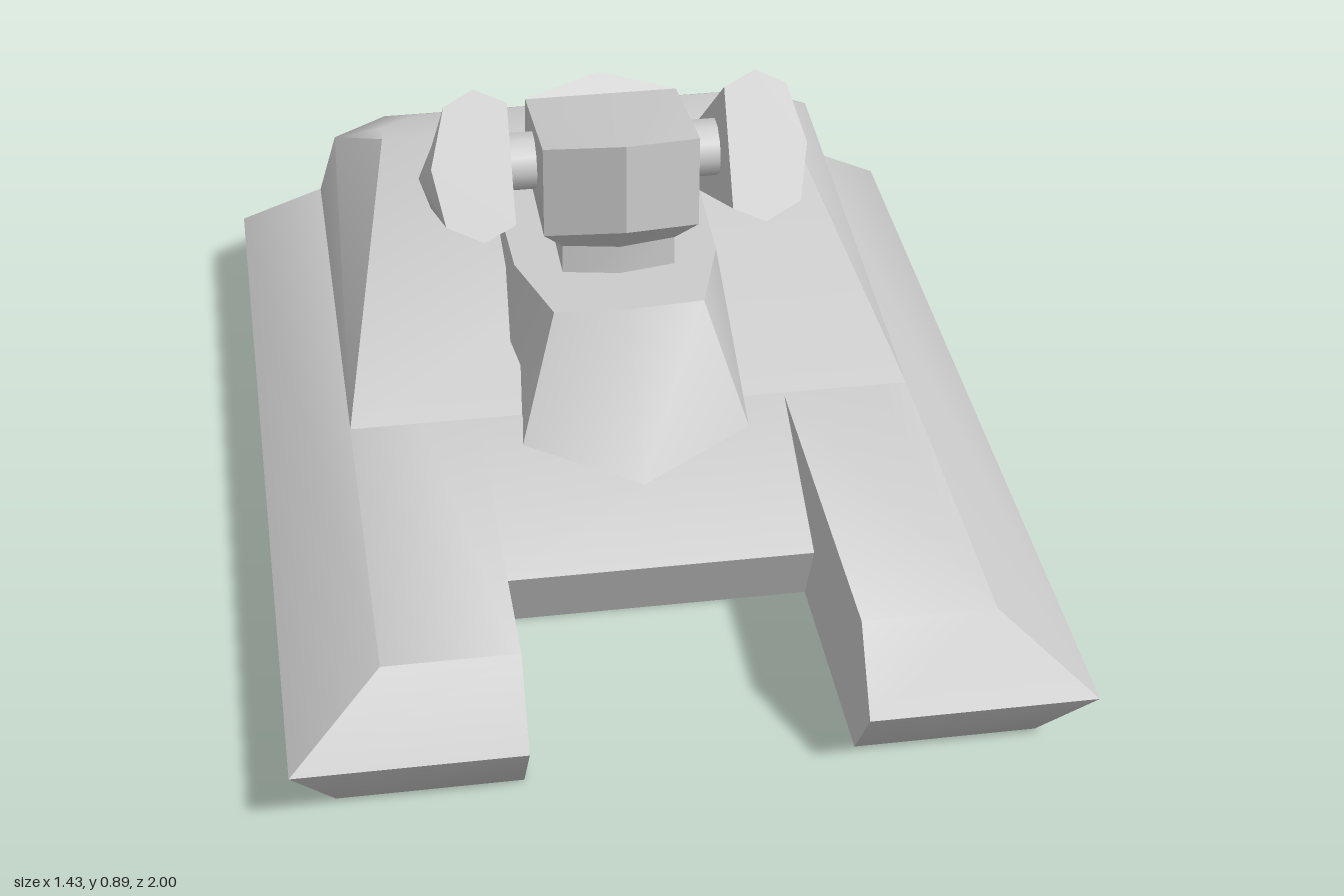
import * as THREE from 'three';
import { toCreasedNormals } from 'three/addons/utils/BufferGeometryUtils.js';

const material = new THREE.MeshStandardMaterial({ color: 0xcccccc });

// Joins rings of [x, y, z] points from the lowest to the highest and caps both ends.
function loft(name, rings, crease) {
  const flat = rings[0].map(([x, , z]) => new THREE.Vector2(x, -z));
  if (THREE.ShapeUtils.isClockWise(flat)) rings = rings.map((r) => [...r].reverse());
  const pos = [];
  const tri = (a, b, c, sign = 0) => {
    const [A, B, C] = [a, b, c].map((p) => new THREE.Vector3(...p));
    const n = B.clone().sub(A).cross(C.clone().sub(A));
    if (n.length() < 1e-8) return;
    if (n.y * sign < 0) pos.push(...a, ...c, ...b);
    else pos.push(...a, ...b, ...c);
  };
  for (let k = 0; k < rings.length - 1; k++) {
    const lo = rings[k], hi = rings[k + 1];
    lo.forEach((a, i) => {
      const j = (i + 1) % lo.length;
      tri(a, lo[j], hi[j]);
      tri(a, hi[j], hi[i]);
    });
  }
  const cap = (ring, sign) => {
    const contour = ring.map(([x, , z]) => new THREE.Vector2(x, -z));
    for (const [a, b, c] of THREE.ShapeUtils.triangulateShape(contour, [])) tri(ring[a], ring[b], ring[c], sign);
  };
  cap(rings[0], -1);
  cap(rings[rings.length - 1], 1);
  const g = new THREE.BufferGeometry();
  g.setAttribute('position', new THREE.Float32BufferAttribute(pos, 3));
  const mesh = new THREE.Mesh(toCreasedNormals(g, crease), material);
  mesh.name = name;
  return mesh;
}

// Closes a right-to-left symmetric ring from its +x half; points on x = 0 are kept once.
const mirrored = (half) => [
  ...half,
  ...half.filter(([x]) => x > 0).reverse().map(([x, y, z]) => [-x, y, z]),
];

export function createModel() {
  const model = new THREE.Group();

  // Forked lower hull: two prongs, a notch between them, chamfered rear corners
  const tier = (y, front, notch, w, side, backW, back) => mirrored([
    [0.3, y, notch], [0.3, y, front], [w, y, front], [w, y, side], [backW, y, back],
  ]);
  model.add(loft('lowerHull', [
    tier(0, 0.9, 0.45, 0.635, -0.8, 0.45, -0.92),
    tier(0.145, 1, 0.515, 0.715, -0.86, 0.48, -1),
    tier(0.29, 0.9, 0.2, 0.545, -0.72, 0.4, -0.81),
  ], 1.05));

  // Upper hull: wedge rising to a crest near the rear
  model.add(loft('upperHull', [
    mirrored([[0.545, 0.29, 0.19], [0.545, 0.29, -0.72], [0.4, 0.29, -0.81]]),
    mirrored([[0.545, 0.29, 0.19], [0.51, 0.45, -0.66], [0.4, 0.47, -0.7]]),
    mirrored([[0.42, 0.54, -0.48], [0.42, 0.543, -0.52], [0.34, 0.553, -0.55]]),
  ], 0.9));

  // Turret base with a pointed, sloping nose
  model.add(loft('turretBase', [
    mirrored([[0, 0.22, 0.355], [0.22, 0.265, 0.255], [0.225, 0.265, 0.05], [0.21, 0.265, -0.38]]),
    mirrored([[0, 0.5, 0.17], [0.145, 0.5, 0.16], [0.2, 0.5, -0.02], [0.21, 0.5, -0.38]]),
  ], 0.6));

  // Turret head on a narrow neck, six-sided in plan
  const six = (w, yMid, ySide, front, frontSide, backSide, back, drop = 0) => mirrored([
    [0, yMid, front], [w, ySide, frontSide], [w, ySide - drop, backSide], [0, yMid - drop, back],
  ]);
  model.add(loft('turretHead', [
    six(0.11, 0.48, 0.48, 0.04, 0.02, -0.18, -0.21),
    six(0.11, 0.56, 0.56, 0.04, 0.02, -0.18, -0.21),
    six(0.15, 0.64, 0.61, 0.12, 0.06, -0.24, -0.29),
    six(0.15, 0.828, 0.8, 0.12, 0.06, -0.22, -0.26, 0.045),
  ], 0.7));

  // Axle carrying the pods
  const axle = new THREE.Mesh(new THREE.CylinderGeometry(0.057, 0.057, 0.48, 10), material);
  axle.name = 'podAxle';
  axle.rotation.z = Math.PI / 2;
  axle.position.set(0, 0.692, -0.09);
  model.add(axle);

  // Tilted, tapering pods: section as [x, height from 0 to 1]
  const section = [[0.208, 0.1], [0.208, 0.9], [0.27, 1], [0.328, 0.9], [0.36, 0.5], [0.34, 0.12], [0.27, 0]];
  const slice = (s, [y0, z0], [y1, z1]) => section.map(([x, t]) => [
    s * x, THREE.MathUtils.lerp(y0, y1, t), THREE.MathUtils.lerp(z0, z1, t),
  ]);
  for (const s of [1, -1]) {
    model.add(loft(s > 0 ? 'leftPod' : 'rightPod', [
      slice(s, [0.475, -0.26], [0.61, -0.35]),
      slice(s, [0.642, 0.12], [0.89, -0.03]),
    ], 0.9));
  }
  return model;
}
